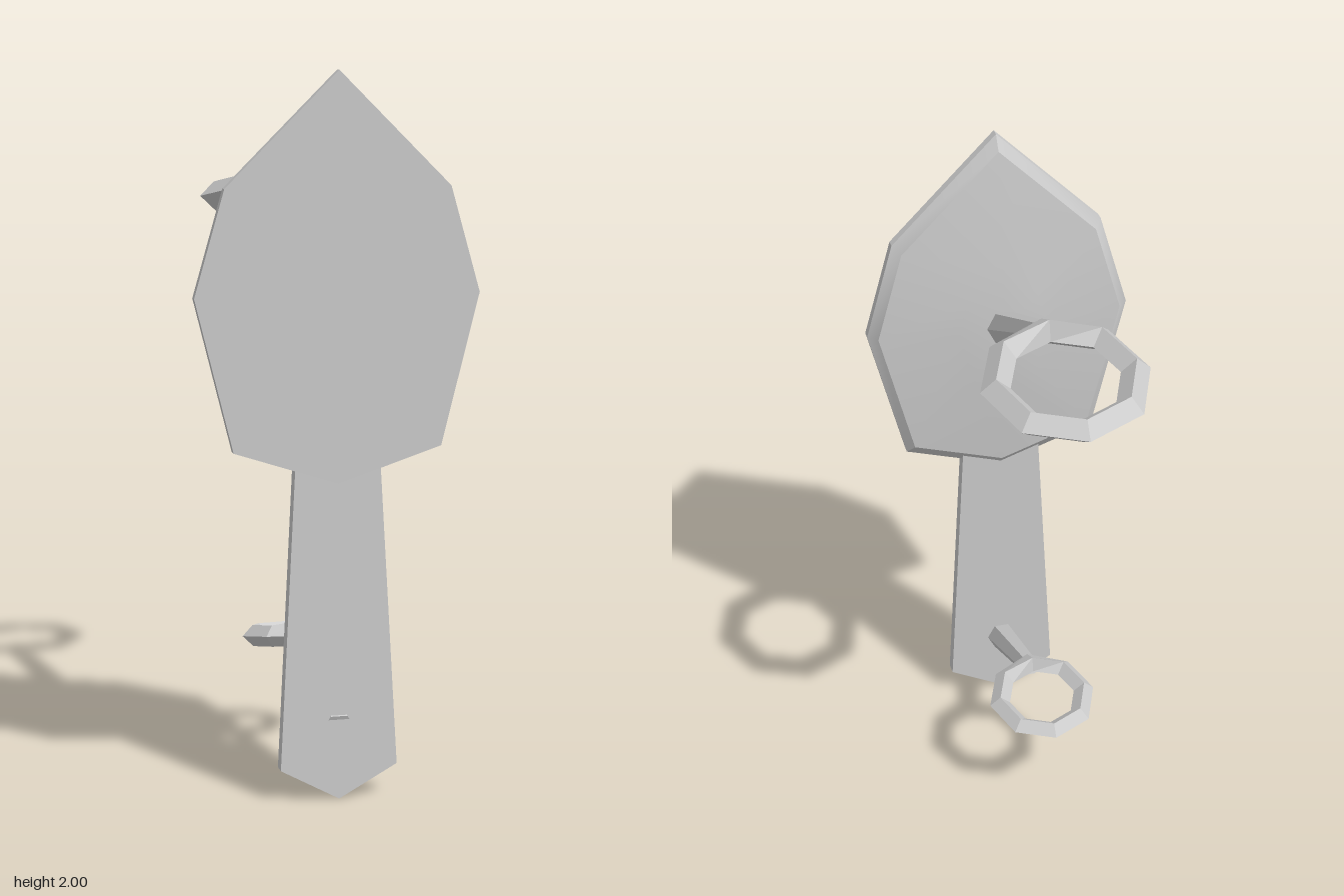
import * as THREE from 'three';
import { toCreasedNormals } from 'three/addons/utils/BufferGeometryUtils.js';

const flat = new THREE.MeshStandardMaterial({ color: 0xcccccc, flatShading: true });
const smooth = new THREE.MeshStandardMaterial({ color: 0xcccccc });

function add(group, name, geometry, material) {
  const mesh = new THREE.Mesh(geometry, material);
  mesh.name = name;
  group.add(mesh);
  return mesh;
}

// Leaf-shaped panel: one outline repeated at several scales, flat in front and domed behind
function panelGeometry() {
  const outline = [[0, 0.885], [0.29, 0.98], [0.395, 1.4], [0.312, 1.69],
    [0, 2], [-0.312, 1.69], [-0.395, 1.4], [-0.29, 0.98]];
  const cy = 1.4, n = outline.length;
  const rows = [[0, 0.478], [1, 0.478], [1, 0.452], [0.93, 0.425], [0.34, 0.391], [0, 0.383]];
  const pos = [], index = [];
  for (const [s, z] of rows)
    for (const [x, y] of outline) pos.push(x * s, cy + (y - cy) * s, z);
  for (let j = 0; j < rows.length - 1; j++)
    for (let i = 0; i < n; i++) {
      const a = j * n + i, b = j * n + (i + 1) % n, c = a + n, d = b + n;
      if (rows[j + 1][0] > 0) index.push(a, c, d);
      if (rows[j][0] > 0) index.push(a, d, b);
    }
  const g = new THREE.BufferGeometry();
  g.setAttribute('position', new THREE.Float32BufferAttribute(pos, 3));
  g.setIndex(index);
  return toCreasedNormals(g, 0.4);
}

// Tapered strip with a pointed foot, leaning back slightly toward the top
function stripGeometry() {
  const shape = new THREE.Shape([[0, 0], [0.165, 0.09], [0.117, 0.98], [-0.117, 0.98], [-0.165, 0.09]]
    .map(([x, y]) => new THREE.Vector2(x, y)));
  const g = new THREE.ExtrudeGeometry(shape, { depth: 0.038, bevelEnabled: false });
  const p = g.attributes.position;
  for (let i = 0; i < p.count; i++) p.setZ(i, p.getZ(i) + 0.46 - 0.024 * p.getY(i));
  return g;
}

// Eight-sided ring of diamond section, thickened where the arm joins it
function ringGeometry(R, r) {
  const g = new THREE.TorusGeometry(R, r, 4, 8);
  const p = g.attributes.position;
  for (let i = 0; i < p.count; i++) {
    const y = p.getY(i), z = p.getZ(i);
    if (Math.abs(p.getX(i)) > 0.001 || y > 0) continue;
    if (z > r / 2) {
      p.setY(i, y + 0.4 * r);
      p.setZ(i, z + 0.4 * r);
    } else if (-y > R + r / 2) p.setY(i, y - 0.28 * r);
  }
  return g.rotateX(-Math.PI / 2);
}

// Six-sided tapered arm from start to end, carrying a tilted ring
function makeHook(name, start, end, radii, ringCentre, R, r) {
  const hook = new THREE.Group();
  hook.name = name;
  const a = new THREE.Vector3(0, ...start), b = new THREE.Vector3(0, ...end);
  const length = a.distanceTo(b);
  const arm = add(hook, 'arm', new THREE.CylinderGeometry(radii[1], radii[0], length, 6).rotateY(Math.PI / 6 * 3), flat);
  arm.position.copy(a).add(b).multiplyScalar(0.5);
  arm.quaternion.setFromUnitVectors(new THREE.Vector3(0, 1, 0), b.sub(a).normalize());
  const ring = add(hook, 'ring', ringGeometry(R, r), flat);
  ring.position.set(0, ...ringCentre);
  ring.rotation.x = -0.21;
  return hook;
}

export function createModel() {
  const model = new THREE.Group();
  model.name = 'hookPanel';
  add(model, 'leafPanel', panelGeometry(), smooth);
  add(model, 'lowerStrip', stripGeometry(), flat);
  model.add(
    makeHook('upperHook', [1.38, 0.44], [1.632, -0.035], [0.052, 0.035], [1.617, -0.262], 0.195, 0.042),
    makeHook('lowerHook', [0.199, 0.482], [0.35, 0.11], [0.046, 0.03], [0.338, -0.028], 0.132, 0.031)
  );
  return model;
}
